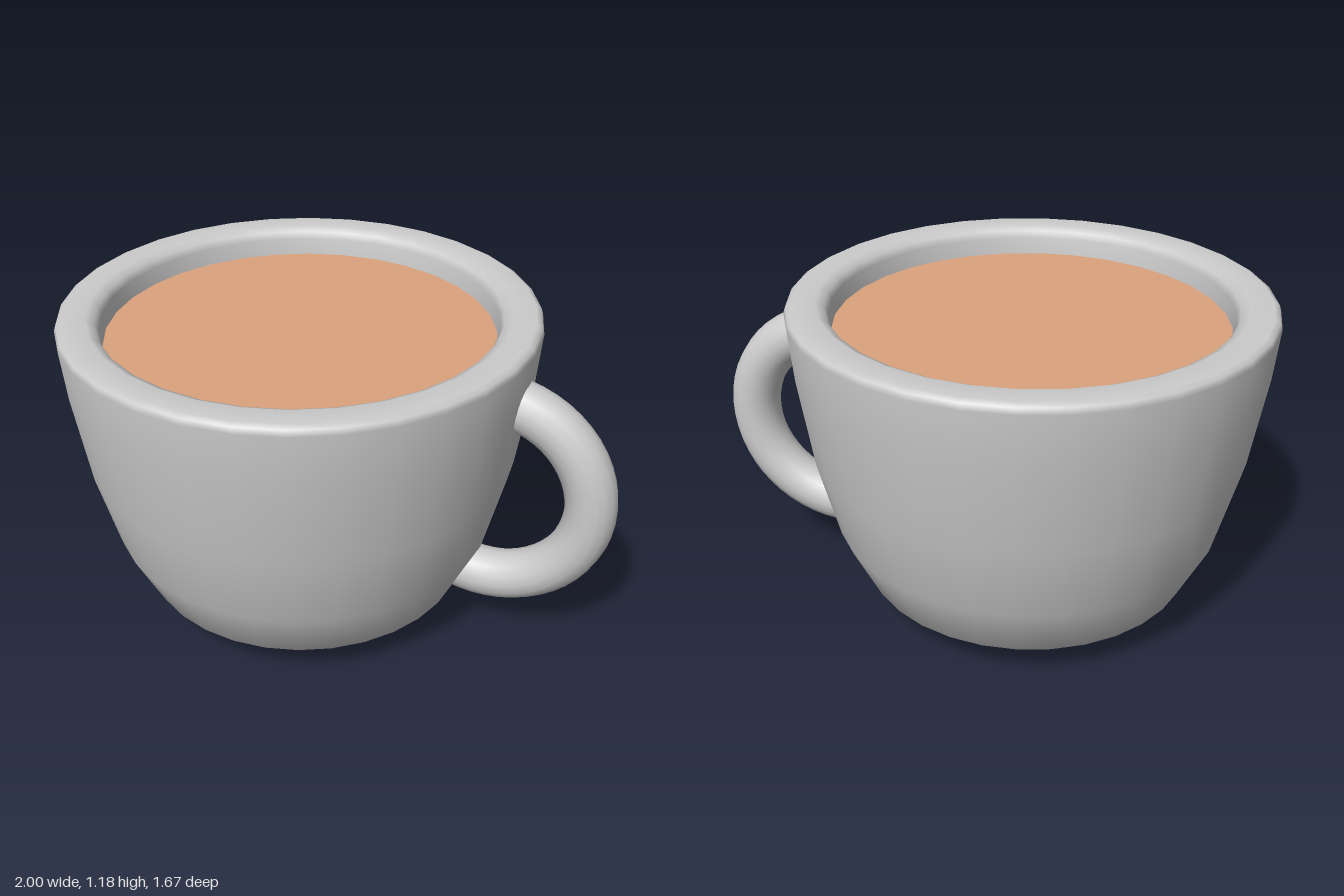
import * as THREE from 'three';

export function createModel() {
  const model = new THREE.Group();
  const clay = new THREE.MeshStandardMaterial({ color: 0xcccccc });
  const coffee = new THREE.MeshStandardMaterial({ color: 0xdba27c });
  const cupX = -0.165;

  const add = (name, geometry, material, x, y) => {
    const mesh = new THREE.Mesh(geometry, material);
    mesh.name = name;
    mesh.position.set(x, y, 0);
    model.add(mesh);
    return mesh;
  };

  // Cup: outer wall, rounded rim, then inner wall down to the floor
  const profile = [
    [0, 0], [0.32, 0], [0.47, 0.035], [0.6, 0.14], [0.7, 0.35], [0.772, 0.64],
    [0.82, 0.97], [0.835, 1.15], [0.828, 1.17], [0.81, 1.18],
    [0.73, 1.18], [0.70, 1.165], [0.688, 1.14], [0.68, 1.06],
    [0.64, 0.66], [0.57, 0.38], [0.45, 0.2], [0, 0.14],
  ].map(([r, y]) => new THREE.Vector2(r, y));
  add('cup', new THREE.LatheGeometry(profile, 32), clay, cupX, 0);

  // Liquid surface
  const surface = new THREE.CircleGeometry(0.684, 32).rotateX(-Math.PI / 2);
  add('liquid', surface, coffee, cupX, 1.08);

  // Handle: part of a ring whose ends sink into the cup wall
  const start = THREE.MathUtils.degToRad(-120);
  const sweep = THREE.MathUtils.degToRad(218);
  const ring = new THREE.TorusGeometry(0.36, 0.09, 16, 32, sweep).rotateZ(start);
  add('handle', ring, clay, 0.55, 0.61);

  return model;
}
